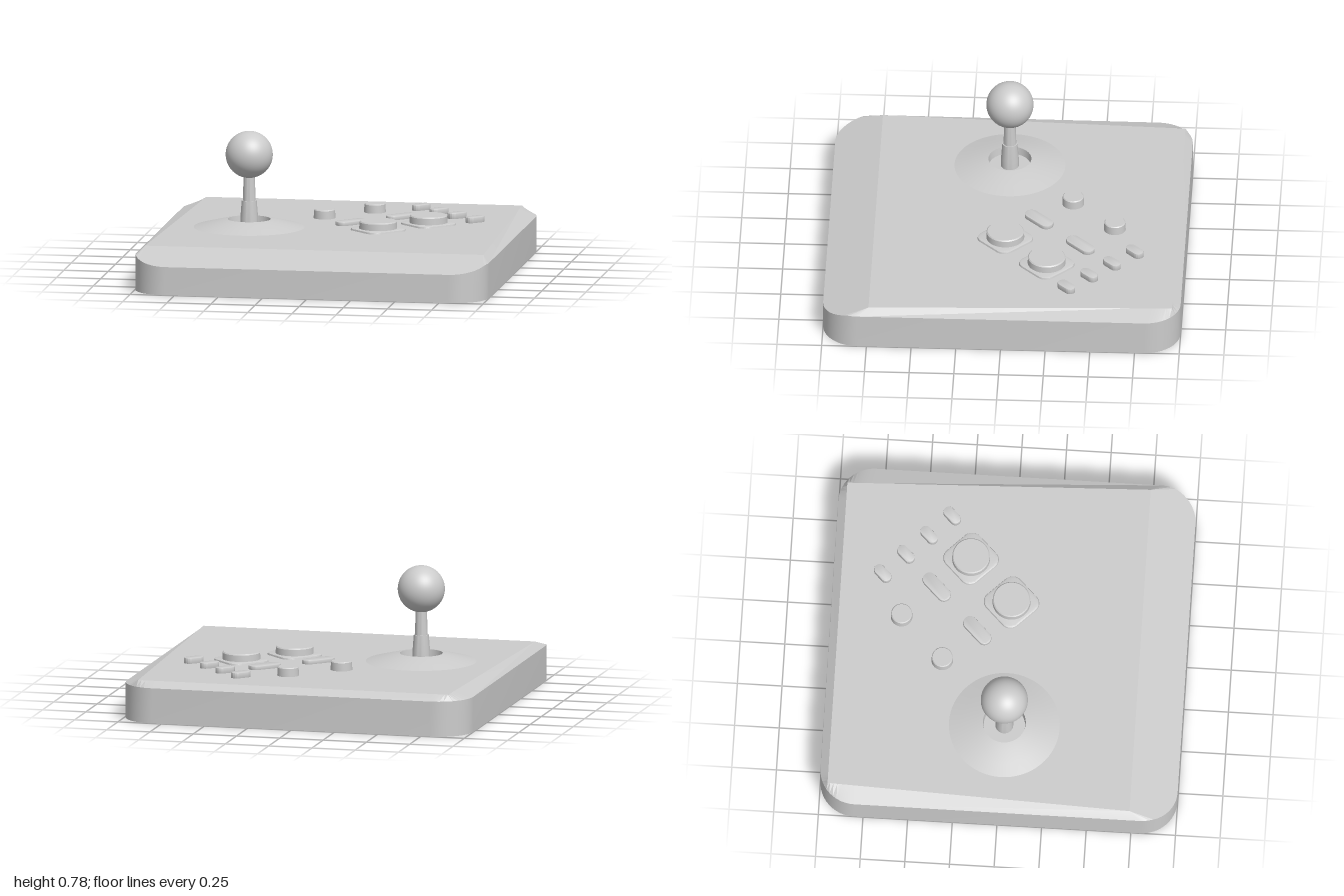
import * as THREE from 'three';
import { toCreasedNormals } from 'three/addons/utils/BufferGeometryUtils.js';

const TOP = 0.235;
const material = new THREE.MeshStandardMaterial({ color: 0xcccccc });

function addMesh(parent, name, geometry, x = 0, y = 0, z = 0) {
  const mesh = new THREE.Mesh(geometry, material);
  mesh.name = name;
  mesh.position.set(x, y, z);
  parent.add(mesh);
  return mesh;
}

const lathe = (profile, segments = 48) => toCreasedNormals(
  new THREE.LatheGeometry(profile.map(([r, y]) => new THREE.Vector2(r, y)), segments), 0.5);

// Rounded-corner case: walls, sloping rim and a flat top that tapers to the back
function caseGeometry() {
  const radius = 0.2, steps = 12;
  const bottom = [], rim = [], deck = [];
  for (let c = 0; c < 4; c++) {
    const mid = (c + 0.5) * Math.PI / 2;
    const cx = Math.sign(Math.cos(mid)) * (1 - radius);
    const cz = Math.sign(Math.sin(mid)) * (1 - radius);
    for (let i = 0; i <= steps; i++) {
      const a = (c + i / steps) * Math.PI / 2;
      const x = cx + radius * Math.cos(a), z = cz + radius * Math.sin(a);
      bottom.push(new THREE.Vector3(x, 0, z));
      rim.push(new THREE.Vector3(x, Math.min(0.2, 0.16 + 0.29 * (1 - z)), z));
      const dz = THREE.MathUtils.clamp(z, -0.955, 0.74);
      const halfWidth = 0.93 + 0.037 * dz;
      deck.push(new THREE.Vector3(THREE.MathUtils.clamp(x, -halfWidth, halfWidth), TOP, dz));
    }
  }
  const data = [];
  const tri = (a, b, c) => {
    if (a.distanceTo(b) < 1e-6 || b.distanceTo(c) < 1e-6 || c.distanceTo(a) < 1e-6) return;
    for (const p of [a, b, c]) data.push(p.x, p.y, p.z);
  };
  const floorCentre = new THREE.Vector3(0, 0, 0), deckCentre = new THREE.Vector3(0, TOP, 0);
  for (let i = 0; i < bottom.length; i++) {
    const j = (i + 1) % bottom.length;
    for (const [lo, up] of [[bottom, rim], [rim, deck]]) {
      tri(lo[i], up[i], lo[j]);
      tri(up[i], up[j], lo[j]);
    }
    tri(floorCentre, bottom[i], bottom[j]);
    tri(deckCentre, deck[j], deck[i]);
  }
  const geometry = new THREE.BufferGeometry();
  geometry.setAttribute('position', new THREE.Float32BufferAttribute(data, 3));
  return toCreasedNormals(geometry, 0.2);
}

// Upright block with a rounded-rectangle plan and a small bevel on its upper edge
function roundedBlock(length, width, radius, height, bevel) {
  const l = length / 2 - bevel, w = width / 2 - bevel, r = radius - bevel;
  const shape = new THREE.Shape();
  shape.absarc(l - r, w - r, r, 0, Math.PI / 2);
  shape.absarc(-l + r, w - r, r, Math.PI / 2, Math.PI);
  shape.absarc(-l + r, -w + r, r, Math.PI, Math.PI * 1.5);
  shape.absarc(l - r, -w + r, r, Math.PI * 1.5, Math.PI * 2);
  const geometry = new THREE.ExtrudeGeometry(shape, {
    depth: height, bevelEnabled: true, bevelSize: bevel, bevelThickness: bevel,
    bevelSegments: 2, curveSegments: 10,
  });
  geometry.rotateX(-Math.PI / 2);
  geometry.translate(0, -bevel, 0);
  return toCreasedNormals(geometry, 0.6);
}

export function createModel() {
  const model = new THREE.Group();
  model.name = 'arcadeController';
  addMesh(model, 'case', caseGeometry());

  // Joystick: conical collar with an open well, stepped shaft and ball
  const joystick = new THREE.Group();
  joystick.name = 'joystick';
  joystick.position.set(-0.49, 0, 0.01);
  model.add(joystick);
  addMesh(joystick, 'collar', lathe([
    [0.31, TOP - 0.005], [0.31, TOP], [0.24, 0.253], [0.16, 0.273], [0.12, 0.28], [0.115, TOP - 0.005],
  ], 64));
  addMesh(joystick, 'shaft', lathe([
    [0.05, 0.22], [0.05, 0.285], [0.042, 0.385], [0.036, 0.385], [0.031, 0.54],
  ], 32));
  addMesh(joystick, 'ball', new THREE.SphereGeometry(0.132, 48, 32), 0, 0.645, 0);

  // Two large buttons on diamond-shaped skirts
  for (const [x, z] of [[0.24, 0.005], [0.485, -0.237]]) {
    const skirt = addMesh(model, 'buttonSkirt', roundedBlock(0.255, 0.255, 0.06, 0.012, 0.012), x, TOP, z);
    skirt.rotation.y = Math.PI / 4;
    addMesh(model, 'largeButton', lathe([
      [0.107, TOP], [0.105, 0.283], [0.099, 0.289], [0, 0.289],
    ]), x, 0, z);
  }

  // Two small round buttons
  for (const [x, z] of [[-0.125, -0.36], [0.12, -0.603]]) {
    addMesh(model, 'smallButton', lathe([
      [0.061, TOP], [0.059, 0.281], [0.054, 0.286], [0, 0.286],
    ], 32), x, 0, z);
  }

  // Diagonal pill-shaped buttons: two long, four short
  const pills = [
    ['longPillButton', roundedBlock(0.198, 0.078, 0.039, 0.022, 0.004), [[0.058, -0.176], [0.302, -0.418]]],
    ['shortPillButton', roundedBlock(0.116, 0.06, 0.03, 0.032, 0.004),
      [[0.362, -0.724], [0.484, -0.602], [0.606, -0.48], [0.728, -0.358]]],
  ];
  for (const [name, geometry, places] of pills) {
    for (const [x, z] of places) {
      addMesh(model, name, geometry, x, TOP, z).rotation.y = Math.PI / 4;
    }
  }
  // The collar, shaft and button profiles were listed from the outside upward
  return model;
}
